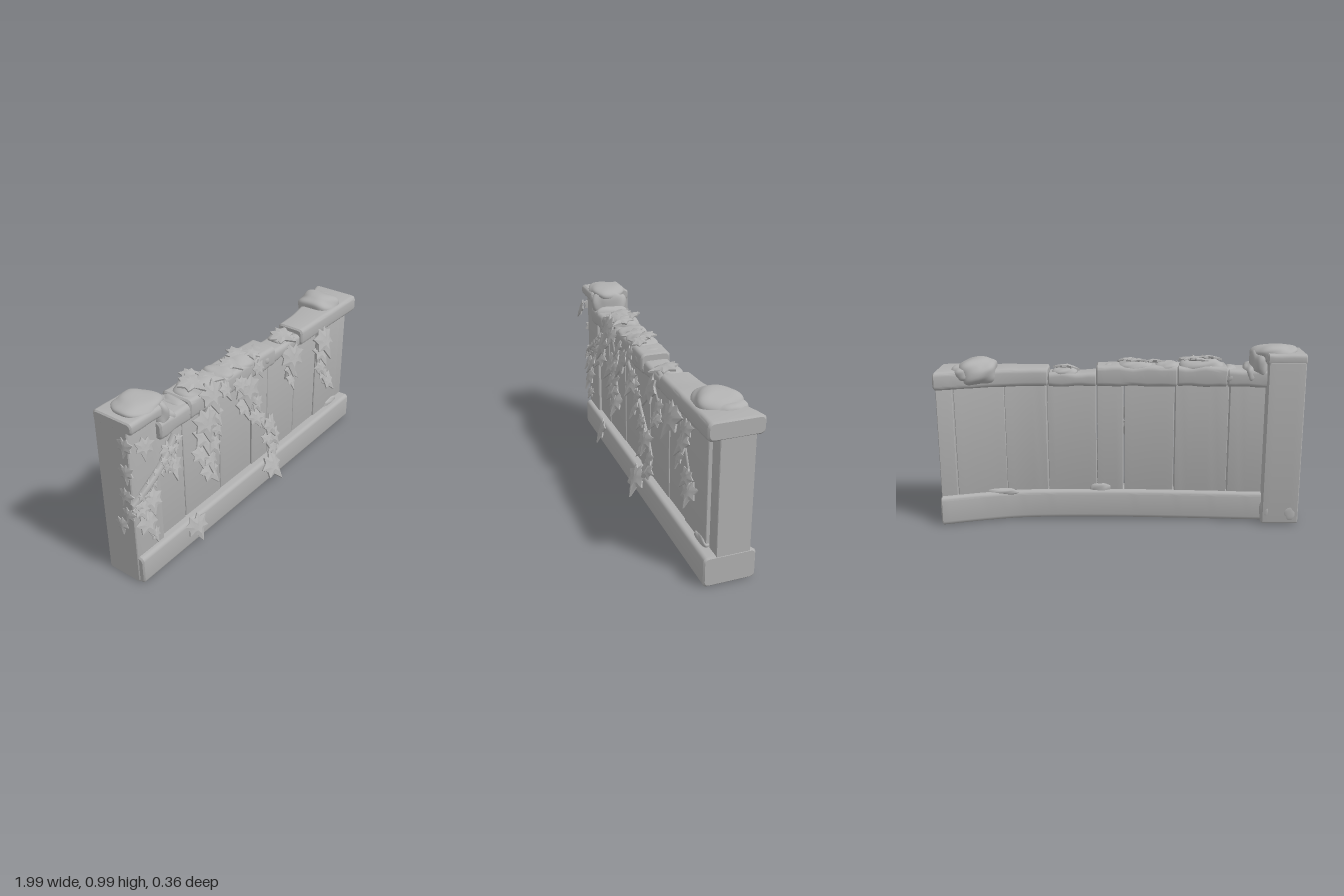
import * as THREE from 'three';
import { mergeVertices, toCreasedNormals } from 'three/addons/utils/BufferGeometryUtils.js';

const stone = new THREE.MeshStandardMaterial({ color: 0xb0b0b0 });
stone.name = 'stone grey';

// Skin closed rings of [x, y, z] points, with a fan on each end
function loft(rings, crease) {
  const n = rings[0].length, pos = [], idx = [];
  rings.forEach(r => r.forEach(p => pos.push(...p)));
  for (let i = 0; i < rings.length - 1; i++) for (let j = 0; j < n; j++) {
    const a = i * n + j, b = i * n + (j + 1) % n;
    idx.push(a, b, b + n, a, b + n, a + n);
  }
  [0, rings.length - 1].forEach((i, end) => {
    const c = pos.length / 3;
    pos.push(...[0, 1, 2].map(k => rings[i].reduce((s, p) => s + p[k], 0) / n));
    for (let j = 0; j < n; j++) {
      const a = i * n + j, b = i * n + (j + 1) % n;
      idx.push(...(end ? [c, a, b] : [c, b, a]));
    }
  });
  const g = new THREE.BufferGeometry();
  g.setAttribute('position', new THREE.Float32BufferAttribute(pos, 3));
  g.setIndex(idx);
  return toCreasedNormals(g, crease);
}

// Curved back of the wall: z as a smooth function of x
const backPts = new THREE.CatmullRomCurve3([[-1, -0.105], [-0.7, -0.094], [-0.3, -0.073], [0, -0.062], [0.4, -0.064],
  [0.6, -0.08], [0.8, -0.127], [1, -0.188]].map(([x, z]) => new THREE.Vector3(x, 0, z))).getPoints(80);
function backZ(x) {
  let i = 0;
  while (i < backPts.length - 2 && backPts[i + 1].x < x) i++;
  const a = backPts[i], b = backPts[i + 1];
  return a.z + (b.z - a.z) * (x - a.x) / (b.x - a.x);
}

// Beam along x with rounded corners, chamfered ends, flat front and a given back
function beam(x0, x1, y0, y1, front, back, r, worn = 0) {
  const steps = Math.max(2, Math.ceil((x1 - x0) / 0.04)), c = r * 0.35;
  const xs = [[x0, c]];
  for (let i = 0; i <= steps; i++) xs.push([x0 + c + (x1 - x0 - 2 * c) * i / steps, 0]);
  xs.push([x1, c]);
  return loft(xs.map(([x, inset]) => {
    const w = worn * (Math.sin(x * 23) + Math.sin(x * 41 + 1)) * 0.5;
    const a = y0 + inset - w * 0.6, b = y1 - inset + w, k0 = back(x) + inset, d = front - inset + w * 0.5;
    const ring = [];
    [[b - r, d - r], [a + r, d - r], [a + r, k0 + r], [b - r, k0 + r]].forEach(([y, z], q) => {
      for (let k = 0; k <= 4; k++) {
        const t = (q + k / 4) * Math.PI / 2;
        ring.push([x, y + r * Math.cos(t), z + r * Math.sin(t)]);
      }
    });
    return ring;
  }), 0.5);
}

// Lumpy, boxy mound
function mound(x, y, z, sx, sy, sz, seed) {
  let g = new THREE.IcosahedronGeometry(1, 9);
  g.deleteAttribute('normal');
  g.deleteAttribute('uv');
  g = mergeVertices(g, 1e-4);
  const p = g.attributes.position;
  const sq = v => Math.sign(v) * Math.pow(Math.abs(v), 0.82);
  for (let i = 0; i < p.count; i++) {
    const a = p.getX(i), b = p.getY(i), c = p.getZ(i);
    const k = 0.95 + 0.07 * Math.sin(a * 4 + seed) * Math.cos(c * 3.5 + seed * 2) + 0.04 * Math.sin(b * 5 + a * 5 + seed * 3);
    p.setXYZ(i, x + sq(a) * sx * k, y + sq(b) * sy * k, z + sq(c) * sz * k);
  }
  g.computeVertexNormals();
  return g;
}

// Five-lobed leaf, one unit wide, tip pointing down
const half = [[0.17, 0.49], [0.24, 0.31], [0.5, 0.25], [0.35, 0.03], [0.42, -0.18], [0.18, -0.21]];
const outline = [[0, -0.58], ...half.slice().reverse(), [0, 0.34], ...half.map(([x, y]) => [-x, y])];
const leafRing = (k, z, droop) => outline.map(([x, y]) => [x * k, y * k, z - droop * Math.abs(x)]);
const leafGeo = loft([leafRing(0.97, -0.04, 0.16), leafRing(1, 0.03, 0.16), leafRing(0.45, 0.08, 0.08), leafRing(0.1, 0.065, 0)], 0.3);

export function createModel() {
  const model = new THREE.Group();
  const add = (name, geo, parent = model) => {
    const m = new THREE.Mesh(geo, stone);
    m.name = name;
    parent.add(m);
    return m;
  };

  // Base sill and upright planks
  add('baseRail', beam(-0.975, 0.995, 0, 0.162, 0.1, x => backZ(x) + 0.013, 0.022));
  const seams = [-0.8, -0.588, -0.292, -0.012, 0.138, 0.412, 0.638, 0.906, 0.996];
  for (let i = 0; i < seams.length - 1; i++) {
    const shift = (i % 3) * 0.003;
    add('plank', beam(seams[i] + 0.003, seams[i + 1] - (i === 5 ? -0.003 : 0.003), 0.13, 0.8, i === 7 ? 0.036 : 0.052 - shift,
      x => backZ(x) + 0.042 + shift * 0.7, 0.008));
  }

  // Top rail in uneven lengths
  [[-0.79, -0.57, 0.768, 0.862, 0.1], [-0.572, -0.3, 0.768, 0.876, 0.1], [-0.302, 0.138, 0.765, 0.875, 0.102],
    [0.136, 0.402, 0.762, 0.838, 0.09], [0.4, 0.997, 0.766, 0.864, 0.1]].forEach(([a, b, c, d, f], i) =>
    add('topRail', beam(a, b, c, d, f, x => backZ(x) + (i === 3 ? 0.008 : 0), 0.024, i < 4 ? 0.006 : 0.002)));

  // Corner post with its cap
  add('post', beam(-0.98, -0.78, 0, 0.92, 0.07, () => -0.135, 0.014));
  add('postCap', beam(-0.984, -0.774, 0.895, 0.957, 0.104, () => -0.135, 0.02, 0.003));

  // Mounds resting on the post, rail and sill
  [[-0.83, 0.943, -0.01, 0.13, 0.049, 0.108, 1], [-0.745, 0.885, 0, 0.055, 0.088, 0.108, 2],
    [-0.7, 0.835, 0, 0.045, 0.055, 0.102, 16],
    [0.775, 0.845, -0.035, 0.115, 0.078, 0.125, 3], [0.85, 0.845, -0.06, 0.07, 0.045, 0.095, 8],
    [-0.43, 0.86, 0.017, 0.13, 0.058, 0.09, 4], [-0.08, 0.86, 0.02, 0.11, 0.042, 0.084, 5],
    [-0.25, 0.855, 0.017, 0.08, 0.04, 0.086, 6], [0.06, 0.825, 0.03, 0.06, 0.054, 0.078, 7],
    [-0.59, 0.822, 0.005, 0.045, 0.052, 0.098, 9], [0.31, 0.83, 0.018, 0.075, 0.034, 0.07, 10],
    [0.84, 0.165, 0.045, 0.075, 0.03, 0.022, 11], [-0.93, 0.06, -0.108, 0.05, 0.055, 0.032, 12],
    [-0.8, 0.065, -0.1, 0.03, 0.06, 0.038, 13], [0.12, 0.165, -0.015, 0.06, 0.035, 0.02, 14],
    [0.68, 0.16, -0.055, 0.1, 0.02, 0.022, 15]].forEach(v => add('mound', mound(...v)));

  // Stems of the climbing plant
  [[0.02, [-0.98, 0.49, 0.07], [-0.9, 0.55, 0.085], [-0.78, 0.62, 0.08], [-0.66, 0.72, 0.065]],
    [0.008, [-0.42, 0.85, 0.1], [-0.45, 0.65, 0.06], [-0.41, 0.35, 0.06]],
    [0.01, [-0.14, 0.8, 0.1], [-0.06, 0.58, 0.06], [0.1, 0.4, 0.06], [0.17, 0.25, 0.06], [0.11, 0.12, 0.105]],
    [0.007, [0.29, 0.8, 0.095], [0.31, 0.58, 0.055]],
    [0.008, [0.61, 0.76, 0.08], [0.65, 0.55, 0.055], [0.75, 0.36, 0.055]]].forEach(([r, ...pts]) =>
    add('stem', new THREE.TubeGeometry(new THREE.CatmullRomCurve3(pts.map(p => new THREE.Vector3(...p))), 24, r, 7)));

  // Hanging leaves: x, y, width
  const leaves = new THREE.Group();
  leaves.name = 'leaves';
  model.add(leaves);
  const hanging = [
    [-0.42, 0.84, 0.17], [-0.32, 0.83, 0.11], [-0.49, 0.72, 0.17], [-0.37, 0.7, 0.14], [-0.45, 0.6, 0.17], [-0.36, 0.61, 0.1],
    [-0.48, 0.5, 0.12], [-0.39, 0.52, 0.12], [-0.42, 0.45, 0.13], [-0.41, 0.37, 0.15],
    [-0.14, 0.74, 0.18], [-0.07, 0.67, 0.11], [-0.11, 0.61, 0.14], [0, 0.58, 0.1], [-0.02, 0.5, 0.11], [0.05, 0.45, 0.09],
    [0.13, 0.37, 0.14], [0.09, 0.3, 0.09], [0.17, 0.27, 0.12], [0.16, 0.2, 0.12], [0.1, 0.125, 0.18],
    [0.29, 0.74, 0.18], [0.33, 0.65, 0.11], [0.32, 0.58, 0.1], [-0.03, 0.82, 0.1], [-0.2, 0.8, 0.1],
    [0.61, 0.72, 0.19], [0.69, 0.69, 0.11], [0.66, 0.61, 0.14], [0.64, 0.52, 0.1], [0.7, 0.44, 0.11], [0.75, 0.38, 0.13],
    [-0.93, 0.82, 0.11], [-0.72, 0.67, 0.1], [-0.69, 0.56, 0.13], [-0.74, 0.6, 0.09], [-0.87, 0.46, 0.13], [-0.91, 0.35, 0.14],
    [-0.87, 0.26, 0.08], [-0.94, 0.45, 0.1], [-0.58, 0.12, 0.15]];
  hanging.forEach(([x, y, s], i) => {
    const m = add('leaf', leafGeo, leaves);
    const onRail = y > 0.7 || y < 0.16;
    m.position.set(x, y, (onRail ? 0.117 : x < -0.8 ? 0.09 : 0.08) + (i % 3) * 0.007);
    m.rotation.set(-0.38 - 0.08 * Math.sin(i * 2.3), 0.2 * Math.sin(i * 1.7), 0.3 * Math.sin(i * 2.9));
    m.scale.set(s, s, s * 0.85);
  });

  // Leaflets along the thick stem
  for (let i = 0; i < 12; i++) {
    const t = i / 11, m = add('leaflet', leafGeo, leaves);
    m.position.set(-0.96 + 0.3 * t, 0.5 + 0.2 * t + 0.012 * (i % 2 ? 1 : -1), 0.095);
    m.rotation.set(-0.4, 0, 0.7 + Math.sin(i * 3));
    m.scale.setScalar(0.052);
  }

  // Leaves on the outer side of the post: y, z, width
  [[0.82, 0.05, 0.1], [0.67, 0.045, 0.1], [0.53, 0.03, 0.1], [0.42, 0.04, 0.09], [0.34, -0.01, 0.09]].forEach(([y, z, s], i) => {
    const m = add('sideLeaf', leafGeo, leaves);
    m.rotation.set(-0.1, -Math.PI / 2, 0.3 * Math.sin(i * 2), 'YXZ');
    m.position.set(-0.987, y, z);
    m.scale.setScalar(s);
  });

  // Leaves lying on the top rail: x, y, z, width
  [[-0.47, 0.912, 0.03, 0.15], [-0.37, 0.902, 0.05, 0.14], [-0.42, 0.912, -0.03, 0.11], [-0.17, 0.89, 0.04, 0.13],
    [-0.08, 0.9, 0.01, 0.13], [-0.03, 0.896, 0.06, 0.11], [0.3, 0.86, 0.04, 0.15]].forEach(([x, y, z, s], i) => {
    const m = add('topLeaf', leafGeo, leaves);
    m.rotation.set(-Math.PI / 2 + 0.2, 0.15 * Math.sin(i * 3), 0.8 * Math.sin(i * 2.1));
    m.position.set(x, y, z);
    m.scale.setScalar(s);
  });
  return model;
}
